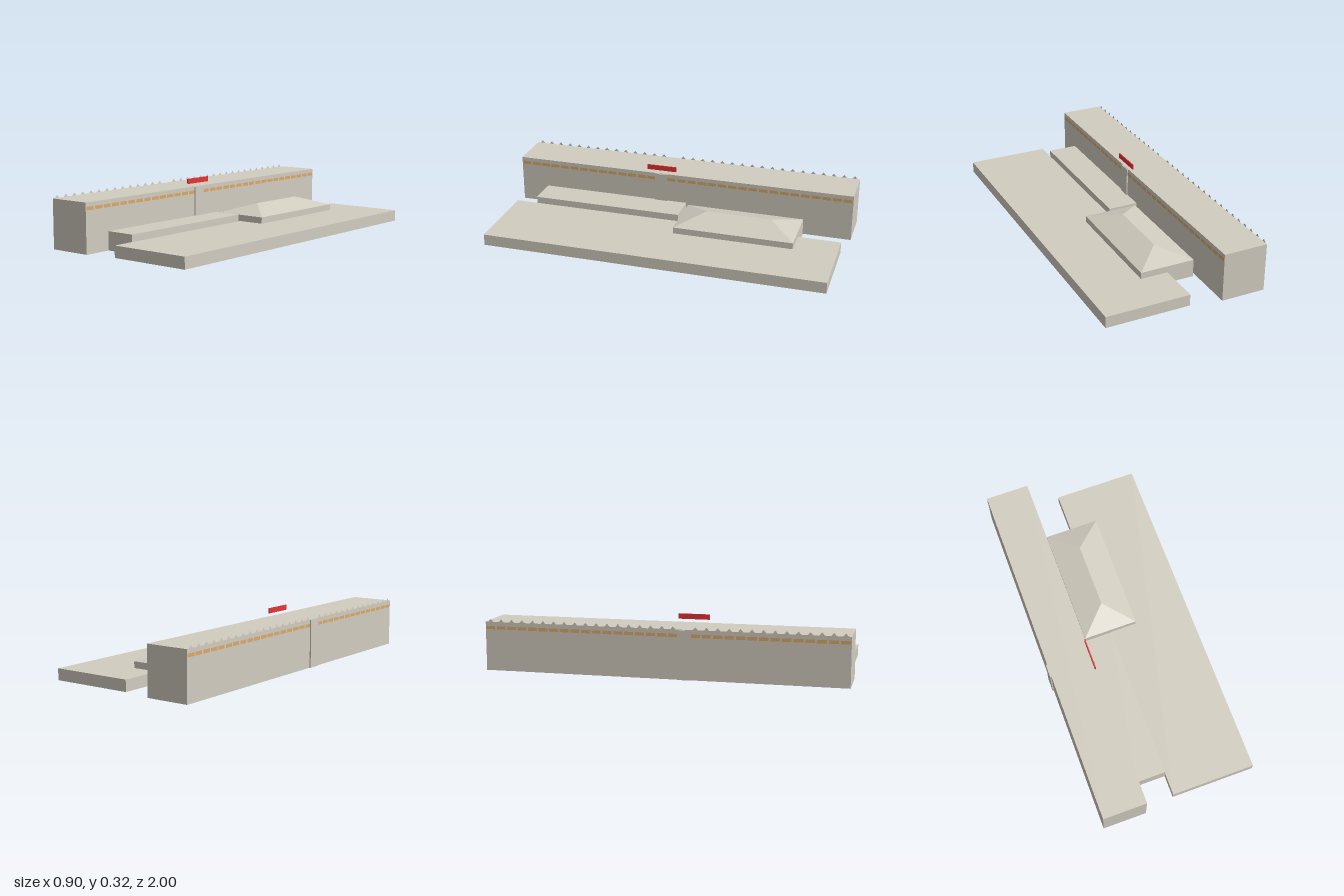
import * as THREE from 'three';

const mat = (name, color) => {
  const m = new THREE.MeshStandardMaterial({ color, side: THREE.DoubleSide });
  m.name = name;
  return m;
};

export function createModel() {
  const group = new THREE.Group();
  const stone = mat('stone', 0xd2cdc0);
  const amber = mat('amber', 0xdcaa68);
  const red = mat('red', 0xe53535);

  const add = (name, geometry, material) => {
    const mesh = new THREE.Mesh(geometry, material);
    mesh.name = name;
    group.add(mesh);
    return mesh;
  };

  const box = (x0, x1, y0, y1, z0, z1) =>
    new THREE.BoxGeometry(x1 - x0, y1 - y0, z1 - z0)
      .translate((x0 + x1) / 2, (y0 + y1) / 2, (z0 + z1) / 2);

  // Box standing on the ground without a floor (and optionally without a top)
  const shell = (x0, x1, h, z0, z1, top = true) => {
    const g = box(x0, x1, 0, h, z0, z1);
    const i = Array.from(g.index.array);
    g.setIndex([...i.slice(0, top ? 18 : 12), ...i.slice(24)]);
    g.clearGroups();
    return g;
  };

  // Main volumes
  const wallL = -0.443, wallR = -0.195, wallH = 0.271;
  add('longHall', shell(wallL, wallR, wallH, -1, 1), stone);
  add('gateBay', shell(-0.45, -0.188, 0.269, 0.085, 0.16), stone);
  add('lowSlab', shell(-0.024, 0.45, 0.064, -0.968, 0.967), stone);
  add('middleWing', shell(wallR, -0.024, 0.103, -0.028, 0.842), stone);
  add('pavilionWalls', shell(-0.178, 0.132, 0.1, -0.726, -0.044, false), stone);

  // Hipped roof: four eave corners and two ridge ends
  const eave = 0.1, ridge = 0.151;
  const a = [-0.178, eave, -0.726], b = [0.132, eave, -0.726];
  const c = [0.132, eave, -0.044], d = [-0.178, eave, -0.044];
  const r0 = [-0.023, ridge, -0.571], r1 = [-0.023, ridge, -0.199];
  const faces = [
    a, r0, b,
    c, r1, d,
    b, r0, r1, b, r1, c,
    d, r1, r0, d, r0, a,
  ];
  const roof = new THREE.BufferGeometry();
  roof.setAttribute('position', new THREE.Float32BufferAttribute(faces.flat(), 3));
  roof.computeVertexNormals();
  add('pavilionRoof', roof, stone);

  // Flat merlons on the outer edge and window strips on both long sides, clear of the gate
  const step = 2 / 33;
  const merlon = new THREE.ShapeGeometry(new THREE.Shape([
    new THREE.Vector2(-0.014, 0), new THREE.Vector2(0.014, 0), new THREE.Vector2(0, 0.016),
  ]));
  const strip = new THREE.PlaneGeometry(0.05, 0.018);
  for (let k = -16; k <= 16; k++) {
    if (k === 2) continue;
    const z = k * step;
    const tooth = add('merlon', merlon, stone);
    tooth.position.set(wallL, wallH, z);
    tooth.rotation.y = -Math.PI / 2;
    for (const [x, side] of [[wallL, -1], [wallR, 1]]) {
      const pane = add('windowStrip', strip, amber);
      pane.position.set(x + side * 0.001, 0.239, z);
      pane.rotation.y = side * Math.PI / 2;
    }
  }

  // Sign board above the gate
  add('signBoard', box(-0.205, -0.199, 0.289, 0.318, 0.034, 0.209), red);

  return group;
}
